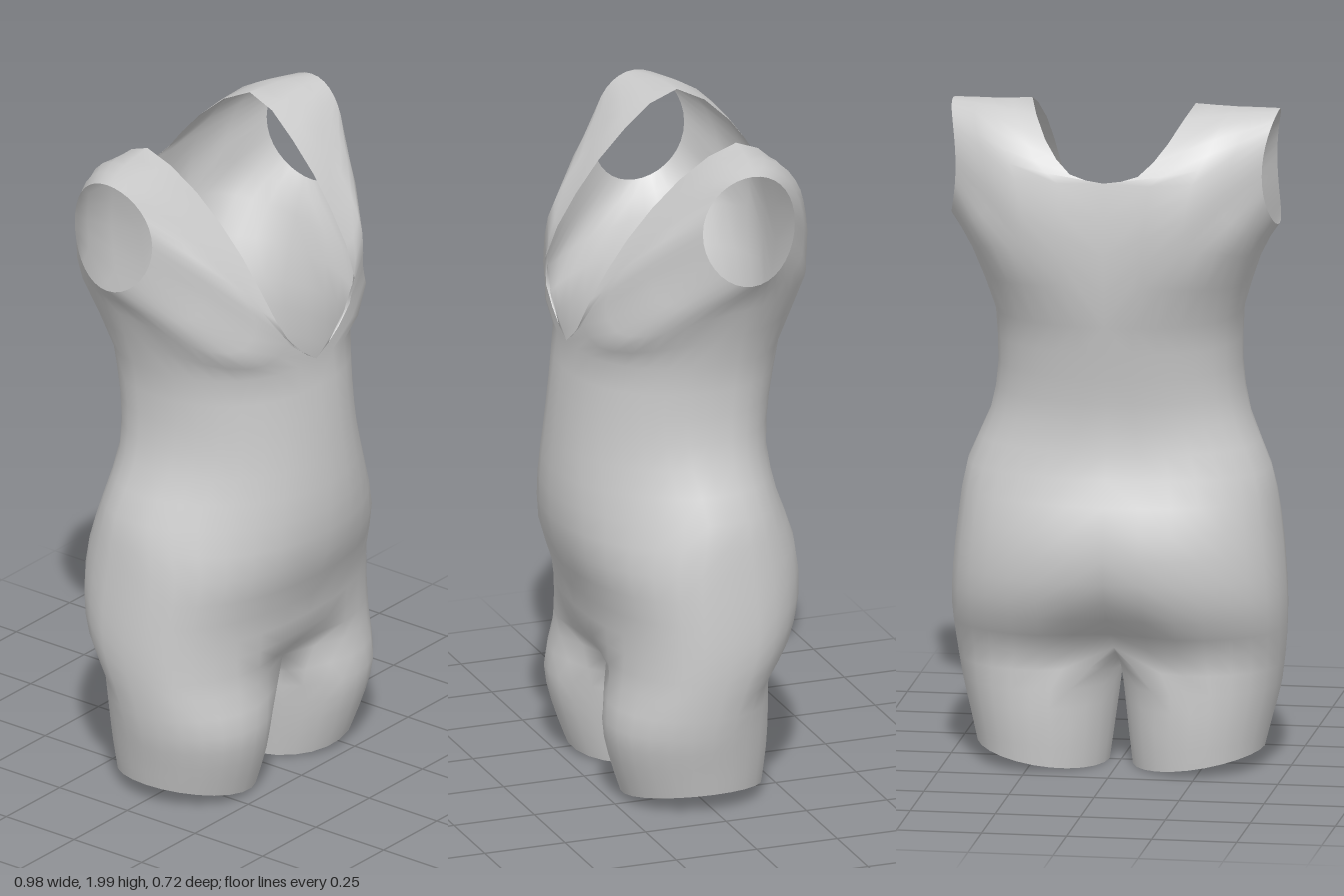
import * as THREE from 'three';
import { mergeVertices } from 'three/addons/utils/BufferGeometryUtils.js';

const { sin, cos, abs, max, PI } = Math;

// Doubles the points of a line with a smooth curve, staying on the left half
function refine(points, closed = false) {
  const curve = new THREE.CatmullRomCurve3(points.map((p) => new THREE.Vector3(...p)), closed, 'catmullrom');
  const steps = 2 * (closed ? points.length : points.length - 1);
  return Array.from({ length: closed ? steps : steps + 1 }, (_, i) => {
    const { x, y, z } = curve.getPoint(i / steps);
    return [max(0, x), y, z];
  });
}

// Adds a smooth row between each two rows
function refineRows(rows) {
  const columns = rows[0].map((_, k) => refine(rows.map((row) => row[k])));
  return columns[0].map((_, i) => columns.map((column) => column[i]));
}

// Half torso cross-section, from front centre round the left side to back centre;
// a higher frontPower slopes the front corners more
function torsoRow([y, w, side, front, back, frontPower, dipFront = 0, dipBack = 0]) {
  return Array.from({ length: 17 }, (_, k) => {
    const a = k * PI / 16, c = abs(cos(a));
    const x = k % 16 === 0 ? 0 : w * sin(a) ** 0.92;
    const z = k <= 8
      ? side + (front - side) * c ** frontPower - dipFront * c ** 24
      : side + (back - side) * c ** 0.8 + dipBack * c ** 24;
    return [x, y, z];
  });
}

// Closed leg cross-section, its hem rising towards the outside
function legRow([y, cx, rx, zc, rz, rise]) {
  return Array.from({ length: 24 }, (_, k) => {
    const a = (k - 2) * PI / 12;
    return [cx + rx * sin(a), y + rise * max(0, (1 + sin(a)) / 2) ** 1.5, zc + rz * cos(a)];
  });
}

// Armhole edge, starting at its front and running under the arm
function armholeRow() {
  return Array.from({ length: 36 }, (_, k) => {
    const a = (k - 8) * PI / 18;
    return [0.465 + 0.015 * cos(2 * a), 1.81 - 0.17 * cos(a), -0.09 - 0.143 * sin(a)];
  });
}

// Skin between rows ordered from top to bottom, plus its mirror image
function addSkin(out, rows, closed) {
  const tri = (...p) => {
    p.forEach((v) => out.push(...v));
    p.reverse().forEach(([x, y, z]) => out.push(-x, y, z));
  };
  for (let i = 0; i + 1 < rows.length; i++) {
    const n = rows[i].length;
    for (let k = 0; k < (closed ? n : n - 1); k++) {
      const j = (k + 1) % n;
      const a = rows[i][k], b = rows[i][j], c = rows[i + 1][j], d = rows[i + 1][k];
      tri(a, d, b);
      tri(b, d, c);
    }
  }
}

export function createModel() {
  const group = new THREE.Group();
  const out = [];

  // Torso from under the bust down to the crotch
  const torso = [
    [1.36, 0.36, -0.01, 0.315, -0.315, 0.95, 0.01],
    [1.2, 0.355, 0, 0.33, -0.285, 1],
    [1.05, 0.38, 0, 0.348, -0.268, 1.15],
    [0.9, 0.445, -0.02, 0.36, -0.29, 1.25],
    [0.75, 0.47, -0.01, 0.345, -0.345, 1],
    [0.6, 0.485, -0.02, 0.29, -0.355, 0.85, 0, 0.01],
    [0.48, 0.49, -0.02, 0.275, -0.32, 0.8, 0.01, 0.05],
    [0.37, 0.483, 0.005, 0.28, -0.25, 0.8, 0.1, 0.11],
  ].map(torsoRow);
  addSkin(out, refineRows(torso), false);

  // Legs, closed on the inside by the crotch seam
  const hip = torso[torso.length - 1];
  const crotch = refine([hip[16], [0, 0.33, -0.07], [0, 0.31, 0], [0, 0.33, 0.07], hip[0]]).slice(1, -1);
  const legs = [
    [0.25, 0.236, 0.232, 0.027, 0.243, 0],
    [0.13, 0.231, 0.212, 0.018, 0.232, 0.02],
    [0.005, 0.228, 0.193, 0.005, 0.207, 0.055],
  ].map(legRow);
  addSkin(out, refineRows([[...hip, ...crotch], ...legs]), true);

  // Back centre line, then the neckline over the shoulder and down the front
  const chest = torso[0];
  const backLine = [[0, 1.47, -0.332], [0, 1.58, -0.345], [0, 1.69, -0.342]];
  const neckline = refine([
    [0, 1.795, -0.33], [0.1, 1.817, -0.322], [0.18, 1.905, -0.27],
    [0.24, 1.998, -0.13], [0.225, 1.9, 0.04], [0.208, 1.73, 0.195], [0.185, 1.55, 0.3],
    [0.1, 1.43, 0.31], chest[0],
  ]).slice(0, -1);

  // Ring halfway between the armhole and the outer edge: bust, side, back, shoulder
  const middle = refine([
    [0.25, 1.55, 0.28], [0.29, 1.48, 0.26], [0.355, 1.48, 0.19], [0.4, 1.51, 0.08], [0.415, 1.54, -0.05],
    [0.415, 1.55, -0.145], [0.385, 1.57, -0.235], [0.325, 1.59, -0.31], [0.24, 1.61, -0.348],
    [0.24, 1.7, -0.352], [0.26, 1.8, -0.332], [0.3, 1.88, -0.293], [0.33, 1.955, -0.225],
    [0.36, 1.99, -0.12], [0.345, 1.945, 0], [0.33, 1.84, 0.095], [0.31, 1.73, 0.19], [0.28, 1.64, 0.255],
  ], true);
  addSkin(out, refineRows([armholeRow(), middle, [...chest, ...backLine, ...neckline]]), true);

  // One smooth garment
  let geometry = new THREE.BufferGeometry();
  geometry.setAttribute('position', new THREE.Float32BufferAttribute(out, 3));
  geometry = mergeVertices(geometry, 1e-4);
  geometry.computeVertexNormals();
  const suit = new THREE.Mesh(
    geometry,
    new THREE.MeshStandardMaterial({ color: 0xcccccc, side: THREE.DoubleSide })
  );
  suit.name = 'bodysuit';
  group.add(suit);
  return group;
}
